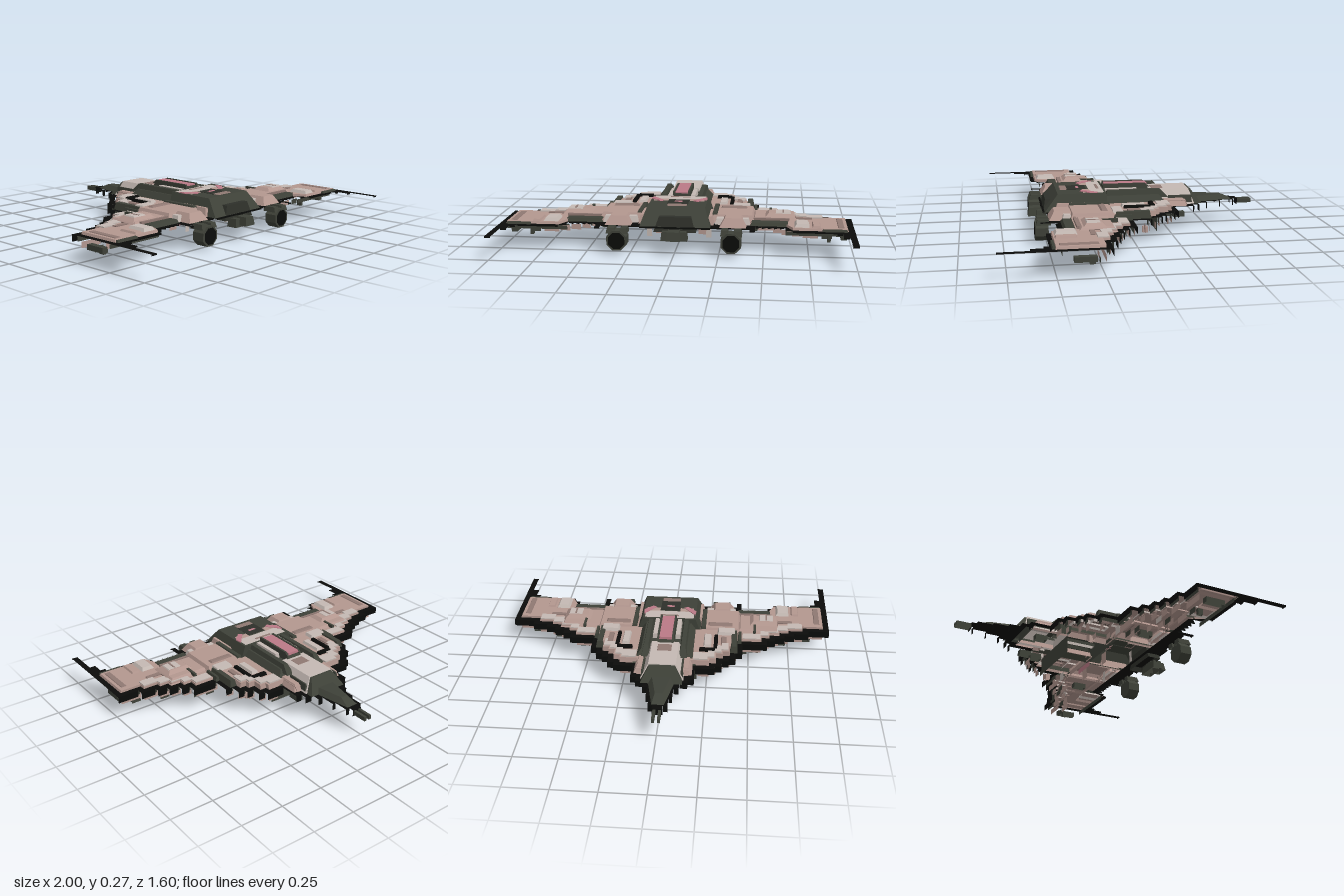
import * as THREE from 'three';

const paint = {};
for (const [name, color] of Object.entries({
  black: 0x0b0c0a, olive: 0x3e4138, darkOlive: 0x2e302a, mauve: 0xb3978f,
  pale: 0xc4b9b3, rose: 0xbb7a86, brown: 0x8f7872,
})) {
  paint[name] = new THREE.MeshStandardMaterial({ color, side: THREE.DoubleSide });
  paint[name].name = name;
}

function surface(pos) {
  const g = new THREE.BufferGeometry();
  g.setAttribute('position', new THREE.Float32BufferAttribute(pos, 3));
  g.computeVertexNormals();
  return g;
}

// Open-bottomed shell lofted between two plan outlines of [x, z]
function loft(bottom, top, y0, y1) {
  const b = bottom.map(p => new THREE.Vector2(...p));
  const t = top.map(p => new THREE.Vector2(...p));
  if (THREE.ShapeUtils.isClockWise(b)) { b.reverse(); t.reverse(); }
  const pos = [];
  const put = (p, y) => pos.push(p.x, y, p.y);
  for (const [i, j, k] of THREE.ShapeUtils.triangulateShape(t, [])) {
    put(t[i], y1); put(t[k], y1); put(t[j], y1);
  }
  b.forEach((p, i) => {
    const j = (i + 1) % b.length;
    put(p, y0); put(t[i], y1); put(t[j], y1);
    put(p, y0); put(t[j], y1); put(b[j], y0);
  });
  return surface(pos);
}

// Hanging walls along a path, only where it runs across z
function hanging(path, y0, y1) {
  const pos = [];
  for (let i = 1; i < path.length; i++) {
    const [ax, az] = path[i - 1], [bx, bz] = path[i];
    if (Math.abs(bx - ax) < .002) continue;
    pos.push(ax, y0, az, ax, y1, az, bx, y1, bz, ax, y0, az, bx, y1, bz, bx, y0, bz);
  }
  return surface(pos);
}

// Stepped leading edge, nose toward -z
const steps = [[.03, -.71], [.055, -.68], [.075, -.59], [.105, -.5], [.15, -.44], [.185, -.4],
  [.3, -.28], [.34, -.25], [.38, -.19], [.42, -.16], [.46, -.09], [.5, .02], [.61, .02],
  [.66, .07], [.72, .11], [.78, .14], [.87, .17], [1, .21]];
// Part of that edge as a path, drawn in by d
function edge(from, to, startX, d = 0) {
  const path = [];
  let px = startX;
  for (const [x, z] of steps.slice(from, to + 1)) {
    path.push([px, z + d], [x - d, z + d]);
    px = x - d;
  }
  return path;
}
const flip = pts => pts.map(([x, z]) => [-x, z]);
const both = half => [...half, ...flip(half.filter(p => p[0] > 0)).reverse()];
const rect = (x0, x1, z0, z1) => [[x0, z0], [x1, z0], [x1, z1], [x0, z1]];
const ribbon = (path, w) => [...path, ...path.map(([x, z]) => [x, z + w]).reverse()];

export function createModel() {
  const ship = new THREE.Group();
  ship.name = 'starfighter';

  const add = (name, mat, geo) => {
    const m = new THREE.Mesh(geo, paint[mat]);
    m.name = name;
    ship.add(m);
    return m;
  };
  // Bevelled block: ix, iz0 and iz1 draw in the sides, front and rear of its top
  const block = (name, mat, x0, x1, z0, z1, y0, y1, ix = 0, iz0 = ix, iz1 = ix) =>
    add(name, mat, loft(rect(x0, x1, z0, z1), rect(x0 + ix, x1 - ix, z0 + iz0, z1 - iz1), y0, y1));
  const centre = (name, mat, w, ...r) => block(name, mat, -w, w, ...r);
  const blocks = (name, mat, x0, x1, ...r) => {
    block('left' + name, mat, x0, x1, ...r);
    block('right' + name, mat, -x1, -x0, ...r);
  };
  const panels = (name, mat, pts, y0, y1, s = 1) => {
    const cx = pts.reduce((a, p) => a + p[0], 0) / pts.length;
    const cz = pts.reduce((a, p) => a + p[1], 0) / pts.length;
    const top = pts.map(([x, z]) => [cx + (x - cx) * s, cz + (z - cz) * s]);
    add('left' + name, mat, loft(pts, top, y0, y1));
    add('right' + name, mat, loft(flip(pts), flip(top), y0, y1));
  };
  const walls = (name, mat, path, y0, y1) => {
    add('left' + name, mat, hanging(path, y0, y1));
    add('right' + name, mat, hanging(flip(path), y0, y1));
  };

  // Black border plate with saw-toothed trailing edge
  const trailing = [[1, .8], [.965, .8], [.965, .63], [.93, .63], [.93, .56], [.9, .56], [.9, .53],
    [.66, .53], [.66, .49], [.62, .49]];
  for (let i = 0; i < 5; i++) trailing.push([.62 - i * .034, .43], [.59 - i * .034, .46]);
  trailing.push([.45, .43], [.45, .54], [.42, .54], [.42, .49], [.2, .49], [.2, .51], [0, .51]);
  const leading = edge(0, 17, 0);
  const outline = both([...leading, ...trailing]);
  const opening = both([...edge(4, 17, 0, .035), [.965, .505], [.66, .505], [.62, .4], [0, .4]]);
  const vec = pts => pts.map(p => new THREE.Vector2(...p));
  const shape = new THREE.Shape(vec(outline));
  shape.holes.push(new THREE.Path(vec(opening)));
  add('borderPlate', 'black', new THREE.ShapeGeometry(shape).rotateX(Math.PI / 2).translate(0, .15, 0));
  walls('TrailingLip', 'black', trailing, .142, .15);

  // Hanging skirts below the leading edge
  walls('LeadingLip', 'black', leading, .11, .15);
  walls('SkirtBacking', 'olive', edge(6, 17, .2, .02), .11, .142);
  walls('UpperSkirt', 'mauve', edge(6, 17, .2, .035), .075, .11);
  walls('LowerSkirt', 'mauve', edge(8, 16, .3, .06).map(([x, z]) => [Math.min(x, .88), z + .03]), .042, .075);
  for (const [x, z] of [[.46, .08], [.53, .1], [.7, .2], [.86, .26]])
    walls('SkirtPlate', 'olive', [[x - .03, z + .005], [x + .03, z + .005]], .042, .074);
  walls('SkirtPalePlate', 'pale', [[.36, .06], [.41, .06]], .085, .135);
  walls('SkirtPalePlate', 'pale', [[.6, .19], [.66, .19]], .078, .108);
  walls('RearStrip', 'olive', [[.62, .47], [.97, .47]], .112, .136);
  walls('BellyWall', 'olive', [[0, -.17], [.19, -.17]], .005, .11);
  walls('BellyPanel', 'mauve', [[.1, .1], [.16, .1]], .005, .075);
  walls('BellyEdge', 'pale', [[.16, .26], [.19, .26]], .03, .1);
  walls('Keel', 'rose', [[0, .03], [.075, .03]], 0, .03);
  blocks('TipUnderPod', 'olive', .93, .965, .29, .41, .075, .105);
  blocks('UnderPod', 'olive', .42, .46, .17, .25, .075, .105);
  blocks('NoseUnderPod', 'olive', .1, .14, -.35, -.28, .075, .105);
  blocks('ChinPod', 'olive', .2, .24, -.24, -.17, .11, .148);
  blocks('SmallFin', 'olive', .86, .88, .29, .32, .037, .073);
  blocks('BellyFin', 'mauve', .3, .32, -.09, -.06, .037, .073);

  // Wing skins
  panels('WingSkin', 'mauve', [...edge(11, 17, .42, .035), [.965, .505], [.66, .505], [.62, .42], [.42, .42]],
    .15, .164, .985);
  panels('WingLeadingBand', 'pale', ribbon(edge(12, 16, .46, .04), .06), .155, .17);
  panels('WingInnerBand', 'brown', ribbon(edge(13, 16, .6, .1), .03), .155, .169);
  blocks('WingTipPanel', 'brown', .9, .95, .27, .49, .15, .168, .01);
  blocks('WingTipRail', 'olive', .82, .96, .5, .522, .15, .162, .004);
  blocks('WingStep', 'mauve', .42, .69, .14, .36, .15, .18, .025);
  blocks('WingRidge', 'mauve', .5, .67, .2, .33, .175, .2, .025);
  blocks('WingHatch', 'pale', .56, .65, .23, .31, .194, .203, .005);
  blocks('WingHatchLine', 'brown', .6, .61, .235, .305, .198, .205);
  blocks('WingGroove', 'olive', .525, .54, .12, .21, .165, .186);
  blocks('WingBox', 'pale', .66, .76, .36, .5, .15, .182, .02);
  blocks('WingBoxSide', 'mauve', .76, .82, .37, .5, .15, .175, .012);
  blocks('Flap', 'olive', .42, .64, .36, .43, .15, .17, .01);
  blocks('FlapLine', 'brown', .42, .64, .345, .36, .15, .18);

  // Shoulders between wing and fuselage
  panels('Shoulder', 'mauve', [...edge(5, 10, .1, .035), [.425, .14], [.1, .14]], .15, .182, .95);
  panels('ShoulderEdge', 'pale', ribbon(edge(6, 9, .17, .045), .075), .16, .19);
  blocks('ShoulderVent', 'black', .285, .31, -.11, .05, .18, .198, .004);
  blocks('ShoulderVentArm', 'black', .2, .295, -.14, -.11, .18, .198, .004);
  blocks('ShoulderPlate', 'pale', .22, .275, -.09, .06, .17, .197, .01);
  blocks('ShoulderPatch', 'brown', .325, .365, -.08, .04, .17, .19, .006);
  blocks('ShoulderRail', 'olive', .385, .43, -.09, .12, .15, .192, .008);
  blocks('WingRootRail', 'olive', .43, .455, .02, .13, .15, .18, .005);

  // Engine fairings and pods
  blocks('EngineDeck', 'mauve', .19, .45, .11, .38, .15, .195, .02);
  blocks('EngineDeckRidge', 'brown', .24, .4, .15, .2, .19, .203, .012);
  blocks('EngineDeckPanel', 'pale', .3, .42, .06, .14, .17, .2, .012);
  blocks('EngineDeckSlot', 'olive', .2, .232, .12, .36, .19, .204, .004);
  blocks('EngineFairing', 'mauve', .25, .4, .34, .49, .15, .2, .03);
  blocks('EngineFairingBand', 'pale', .22, .42, .36, .42, .15, .185, .01);
  blocks('EngineRearInner', 'olive', .26, .305, .48, .565, .12, .15, .005, 0, .01);
  blocks('EngineRearOuter', 'olive', .33, .38, .48, .565, .12, .15, .005, 0, .01);
  for (const s of [-1, 1]) {
    const pod = add(s > 0 ? 'leftThruster' : 'rightThruster', 'olive',
      new THREE.CylinderGeometry(.061, .061, .075, 8).toNonIndexed());
    pod.geometry.rotateY(Math.PI / 8).rotateX(Math.PI / 2).computeVertexNormals();
    pod.position.set(s * .32, .08, .53);
    const nozzle = add('nozzle', 'black', new THREE.CircleGeometry(.05, 8, Math.PI / 8));
    nozzle.position.set(s * .32, .08, .57);
  }

  // Nose, neck and twin probes
  add('nose', 'olive', loft([[-.035, -.67], [.035, -.67], [.085, -.4], [-.085, -.4]],
    [[-.022, -.6], [.022, -.6], [.06, -.4], [-.06, -.4]], .15, .18));
  centre('noseCollar', 'olive', .12, -.46, -.36, .15, .232, .045, .06, 0);
  blocks('Probe', 'olive', .008, .024, -.8, -.71, .12, .145);
  centre('neck', 'pale', .125, -.415, -.13, .15, .237, .045, .03, 0);
  centre('neckStripe', 'brown', .045, -.24, -.16, .233, .239, .005);
  blocks('NeckPanel', 'mauve', .1, .17, -.36, -.2, .15, .19, .02);
  blocks('NeckTrim', 'olive', .105, .122, -.4, -.25, .16, .205, .004);

  // Spine and canopy
  centre('fuselage', 'olive', .19, -.25, .16, .15, .22, .05, .06, 0);
  blocks('SpineRail', 'olive', .085, .135, -.25, .13, .2, .25, .012, .05, .01);
  blocks('SpineStrip', 'pale', .052, .085, -.07, .13, .2, .25, .004);
  centre('canopyFrame', 'olive', .05, -.17, .14, .2, .262, .002, .045, .005);
  blocks('CanopySill', 'olive', .038, .05, -.15, .135, .25, .274, 0, .03, .005);
  centre('canopy', 'rose', .038, -.135, .125, .255, .27, .001);

  // Rear hull
  centre('rearHull', 'olive', .2, .13, .5, .15, .248, .035, 0, .08);
  blocks('RearHullCheek', 'mauve', .175, .215, .24, .44, .15, .2, .012);
  centre('rearDeck', 'pale', .155, .14, .23, .243, .25, .004);
  centre('rearDeckLine', 'brown', .06, .16, .18, .248, .252, .003);
  blocks('RearDeckArm', 'mauve', .06, .15, .22, .27, .243, .251, .004);
  panels('RearDeckRose', 'rose', [[.16, .18], [.165, .23], [.11, .285], [.085, .27]], .246, .254, .95);
  centre('rearDeckWell', 'darkOlive', .06, .24, .36, .243, .25);
  centre('rearDeckCore', 'rose', .025, .28, .3, .248, .253, .003);
  centre('rearDeckTail', 'brown', .06, .35, .4, .243, .252, .006);
  centre('exhaustHood', 'darkOlive', .12, .42, .505, .12, .205, .03, 0, .015);
  centre('exhaustSlot', 'black', .03, .5, .512, .12, .145);
  centre('tailBlock', 'olive', .04, .48, .59, .09, .14, .008);
  centre('tailShelf', 'olive', .075, .48, .545, .08, .13, .006);

  return ship;
}
